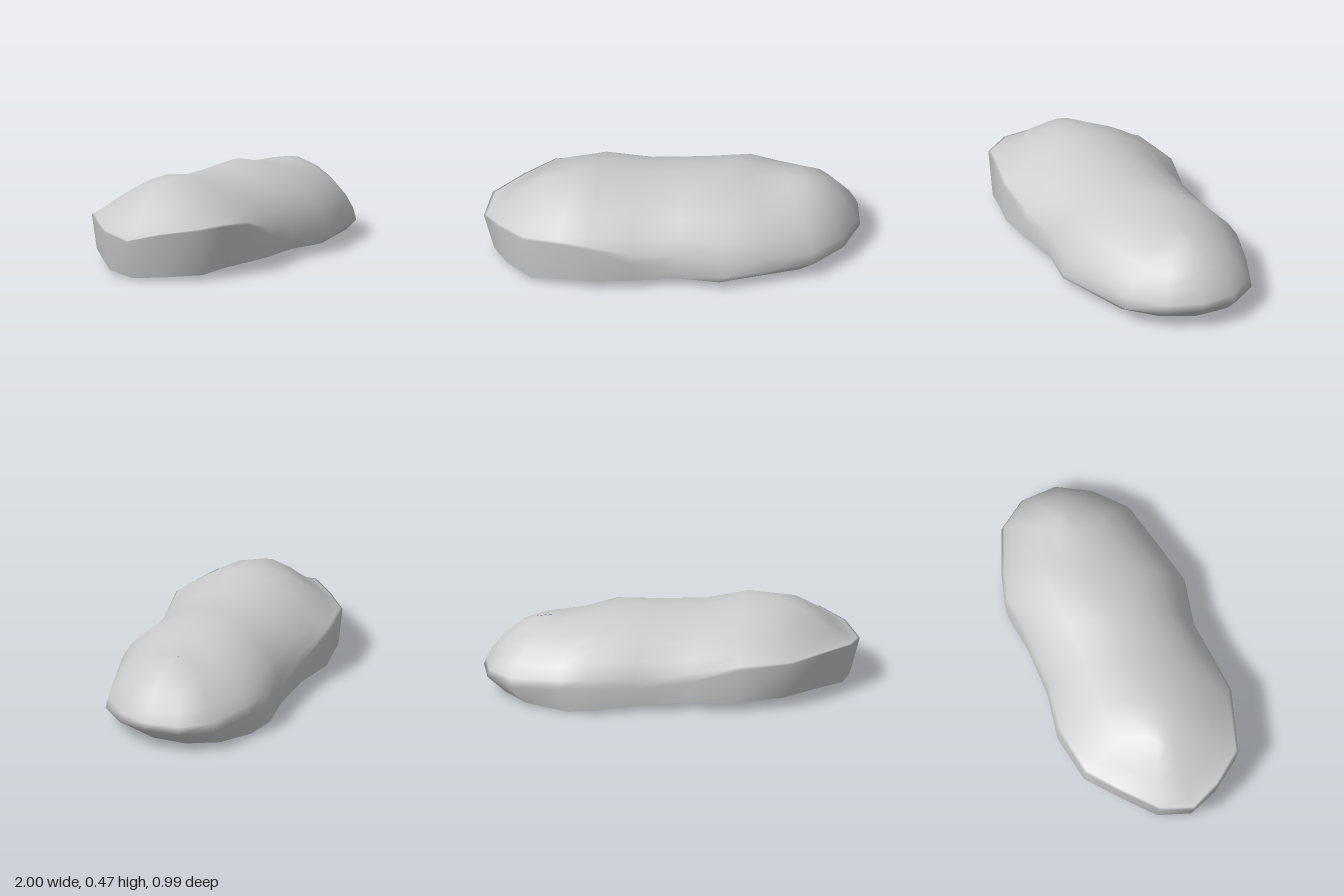
import * as THREE from 'three';
import { mergeVertices } from 'three/addons/utils/BufferGeometryUtils.js';

// Stations from the left (+x) end to the right (-x) end.
// Side entries: x, z, height of the widest line, height of the bottom rim,
// and slope power (0.5 is round, larger is straighter).
const BACK = [
  [1, -0.04, 0.11, 0.03, 0.76], [0.98, -0.23, 0.11, 0.025, 0.74], [0.86, -0.38, 0.11, 0.02, 0.68],
  [0.61, -0.46, 0.13, 0, 0.68], [0.45, -0.495, 0.14, 0.02, 0.67], [0.2, -0.45, 0.13, 0.035, 0.6],
  [-0.1, -0.43, 0.16, 0.045, 0.67], [-0.36, -0.455, 0.24, 0.05, 1.02], [-0.64, -0.39, 0.25, 0.06, 1.3],
  [-0.8, -0.24, 0.25, 0.05, 1.6], [-0.96, -0.07, 0.24, 0.025, 1.8], [-1, 0.11, 0.21, 0.005, 1.7],
];
const FRONT = [
  BACK[0], [0.92, 0.15, 0.09, 0.035, 0.7], [0.77, 0.31, 0.085, 0.045, 0.62],
  [0.52, 0.395, 0.085, 0.05, 0.57], [0.3, 0.465, 0.085, 0.05, 0.55], [0.04, 0.435, 0.1, 0.05, 0.55],
  [-0.2, 0.47, 0.16, 0.05, 0.68], [-0.43, 0.495, 0.26, 0.055, 1.08], [-0.6, 0.46, 0.27, 0.045, 1.2],
  [-0.78, 0.425, 0.27, 0.025, 1.35], [-0.92, 0.27, 0.25, 0.015, 1.6], BACK[11],
];
// Crest line: x, y, z
const CREST = [
  [0.65, 0.405, -0.06], [0.63, 0.405, -0.06], [0.57, 0.405, -0.06], [0.42, 0.41, -0.05],
  [0.28, 0.447, -0.03], [0.08, 0.442, -0.01], [-0.17, 0.437, 0], [-0.38, 0.475, 0.04],
  [-0.48, 0.469, 0.04], [-0.54, 0.465, 0.04], [-0.57, 0.461, 0.04], [-0.59, 0.458, 0.04],
];
const STEPS = 6; // rows from the widest line up to the crest

function shellGeometry() {
  const last = BACK.length - 1;
  const cols = 2 * last;
  const rows = STEPS + 2;
  const positions = [];
  const index = [];

  for (let r = 0; r < rows; r++) {
    for (let c = 0; c < cols; c++) {
      const i = c <= last ? c : cols - c;
      const [x, z, yWaist, yRim, power] = c <= last ? BACK[i] : FRONT[i];
      const [cx, cy, cz] = CREST[i];
      if (r === 0) {
        // tucked-in bottom rim
        positions.push(x * (x > 0 ? 0.9 : 0.945), yRim, z * 0.985);
        continue;
      }
      const a = ((r - 1) / STEPS) * Math.PI / 2;
      const t = 1 - Math.cos(a);
      const rise = Math.pow(Math.sin(a), 2 * power);
      positions.push(
        THREE.MathUtils.lerp(x, cx, t),
        THREE.MathUtils.lerp(yWaist, cy, rise),
        THREE.MathUtils.lerp(z, cz, t)
      );
    }
  }
  for (let r = 0; r < rows - 1; r++) {
    for (let c = 0; c < cols; c++) {
      const d = (c + 1) % cols;
      const p = r * cols, q = p + cols;
      index.push(p + c, p + d, q + d, p + c, q + d, q + c);
    }
  }

  const geometry = new THREE.BufferGeometry();
  geometry.setAttribute('position', new THREE.Float32BufferAttribute(positions, 3));
  geometry.setIndex(index);
  // weld both sides along the crest so the shading runs over it
  const welded = mergeVertices(geometry, 1e-4);
  welded.computeVertexNormals();
  return welded;
}

export function createModel() {
  const group = new THREE.Group();
  group.name = 'domedShell';
  // hollow shell, open at the bottom
  const shell = new THREE.Mesh(
    shellGeometry(),
    new THREE.MeshStandardMaterial({ color: 0xcccccc, side: THREE.DoubleSide })
  );
  shell.name = 'shell';
  group.add(shell);
  return group;
}
